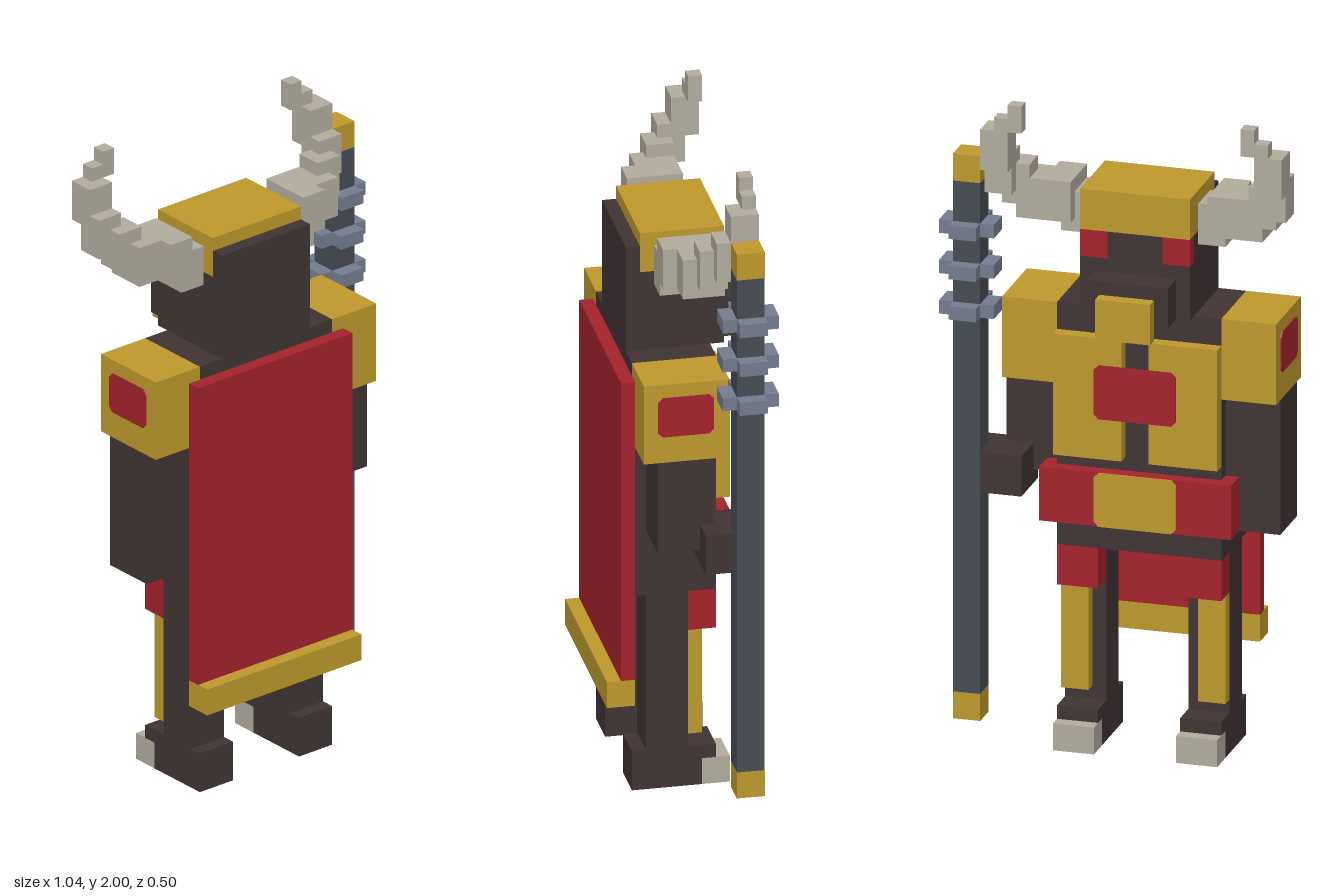
import * as THREE from 'three';

const U = 1 / 24;   // one block
const CX = -1.5;    // the body's centre line, in blocks

const mat = (name, color) => {
  const m = new THREE.MeshStandardMaterial({ color });
  m.name = name;
  return m;
};

export function createModel() {
  const dark = mat('dark brown', 0x403434);
  const gold = mat('gold', 0xbf9a2c);
  const red = mat('red', 0xa5222d);
  const bone = mat('bone', 0xb3ad9f);
  const iron = mat('iron', 0x474c55);
  const steel = mat('blue steel', 0x747d90);

  const model = new THREE.Group();
  model.name = 'hornedGuard';

  // Box from its low and high corners, in blocks
  function box(name, material, x0, x1, y0, y1, z0, z1, parent = model) {
    const g = new THREE.BoxGeometry(Math.abs(x1 - x0) * U, (y1 - y0) * U, (z1 - z0) * U);
    const m = new THREE.Mesh(g, material);
    m.position.set((x0 + x1) / 2 * U, (y0 + y1) / 2 * U, (z0 + z1) / 2 * U);
    m.name = name;
    parent.add(m);
    return m;
  }

  // Thin plate with clipped corners, facing +z before turning
  function plate(name, material, w, h, x, y, z, turn) {
    const a = w / 2 * U, b = h / 2 * U, c = 0.35 * U;
    const shape = new THREE.Shape([
      [-a + c, -b], [a - c, -b], [a, -b + c], [a, b - c],
      [a - c, b], [-a + c, b], [-a, b - c], [-a, -b + c],
    ].map(([px, py]) => new THREE.Vector2(px, py)));
    const m = new THREE.Mesh(new THREE.ExtrudeGeometry(shape, { depth: 0.004, bevelEnabled: false }), material);
    m.position.set(x * U, y * U, z * U);
    m.rotation.y = turn;
    m.name = name;
    model.add(m);
  }

  // Torso, belt and buckle
  box('torso', dark, CX - 6, CX + 6, 15, 33, -2, 4);
  box('belt', red, CX - 7, CX + 7, 17, 21, -3, -1);
  plate('buckle', gold, 6, 4, CX, 19, -3, Math.PI);
  plate('chestGem', red, 6, 4, CX, 27, -3, Math.PI);

  // Cape with a heavy hem
  box('cape', red, CX - 7, CX + 7, 9, 32, 4, 5);
  box('capeHem', gold, CX - 7, CX + 7, 7, 9, 4, 6);

  // Head, muzzle and circlet
  box('head', dark, CX - 4, CX + 4, 33, 39, -2, 4);
  box('headBack', dark, CX - 4, CX + 4, 39, 41, 3, 4);
  box('cheeks', dark, CX - 4, CX + 4, 33, 37, -3, -2);
  box('brow', dark, CX - 2, CX + 2, 37, 39, -3, -2);
  box('circlet', gold, CX - 4, CX + 4, 39, 42, -3, 3);
  box('muzzle', dark, CX - 3, CX + 3, 33, 36, -5, -3);
  box('chinGuard', gold, CX - 2, CX + 2, 32, 35, -6, -5);

  // Horn steps: distance out, height and depth ranges
  const hornSteps = [
    [4, 6, 38, 41, -1, 2],
    [5, 7, 39, 42, -2, 2],
    [7, 9, 39, 42, -2, 1],
    [8, 10, 40, 43, -2, 0],
    [9, 11, 41, 44, -3, -1],
    [9, 11, 43, 46, -4, -2],
    [9, 10, 45, 47, -4, -3],
    [8, 9, 46, 48, -4, -3],
  ];

  // Mirrored parts; s = +1 is the staff side
  for (const s of [-1, 1]) {
    const pair = (name, material, d0, d1, ...r) => box(name, material, CX + s * d0, CX + s * d1, ...r);
    pair('eye', red, 2, 4, 37, 39, -3, -2);
    pair('chestPlate', gold, 1, 6, 22, 31, -3, -2);
    pair('shoulderGuard', gold, 6, 10, 27, 33, -2, 4);
    plate('shoulderGem', red, 4, 3, CX + s * 10, 30.5, 1, s * Math.PI / 2);
    pair('arm', dark, 6, 10, s > 0 ? 20 : 17, 27, -1, 3);
    pair('leg', dark, 3, 6, 3, 15, 0, 3);
    pair('thighGuard', red, 3, 6, 12, 15, -2, 0);
    pair('shinGuard', gold, 4, 6, 4, 12, -1, 0);
    pair('foot', dark, 3, 6, 0, 3, -1, 4);
    pair('footTop', dark, 3, 6, 2, 3, -2, -1);
    pair('toe', bone, 3, 6, 0, 2, -3, -1);

    const horn = new THREE.Group();
    horn.name = 'horn';
    for (const [d0, d1, ...r] of hornSteps) box('hornStep', bone, CX + s * d0, CX + s * d1, ...r, horn);
    model.add(horn);
  }

  // Hand gripping the staff
  box('hand', dark, 6.5, 10.5, 19, 22, -3.98, 0);

  // Staff with gold ends and cross-shaped rings
  const staff = new THREE.Group();
  staff.name = 'staff';
  box('shaft', iron, 9.5, 11.5, 4, 42, -4, -2, staff);
  box('staffFoot', gold, 9.5, 11.5, 2, 4, -4, -2, staff);
  box('staffTop', gold, 9.5, 11.5, 42, 44, -4, -2, staff);
  for (const y of [32.5, 35, 38]) {
    const y0 = Math.floor(y);
    box('ringAcross', steel, 8.5, 12.5, y0, y0 + 1, -4, -2, staff);
    box('ringAlong', steel, 9.5, 11.5, y0, y0 + 1, -5, -1, staff);
  }
  // The shaft sits just inside the rings
  staff.children[0].scale.set(0.99, 1, 0.99);
  model.add(staff);

  return model;
}
